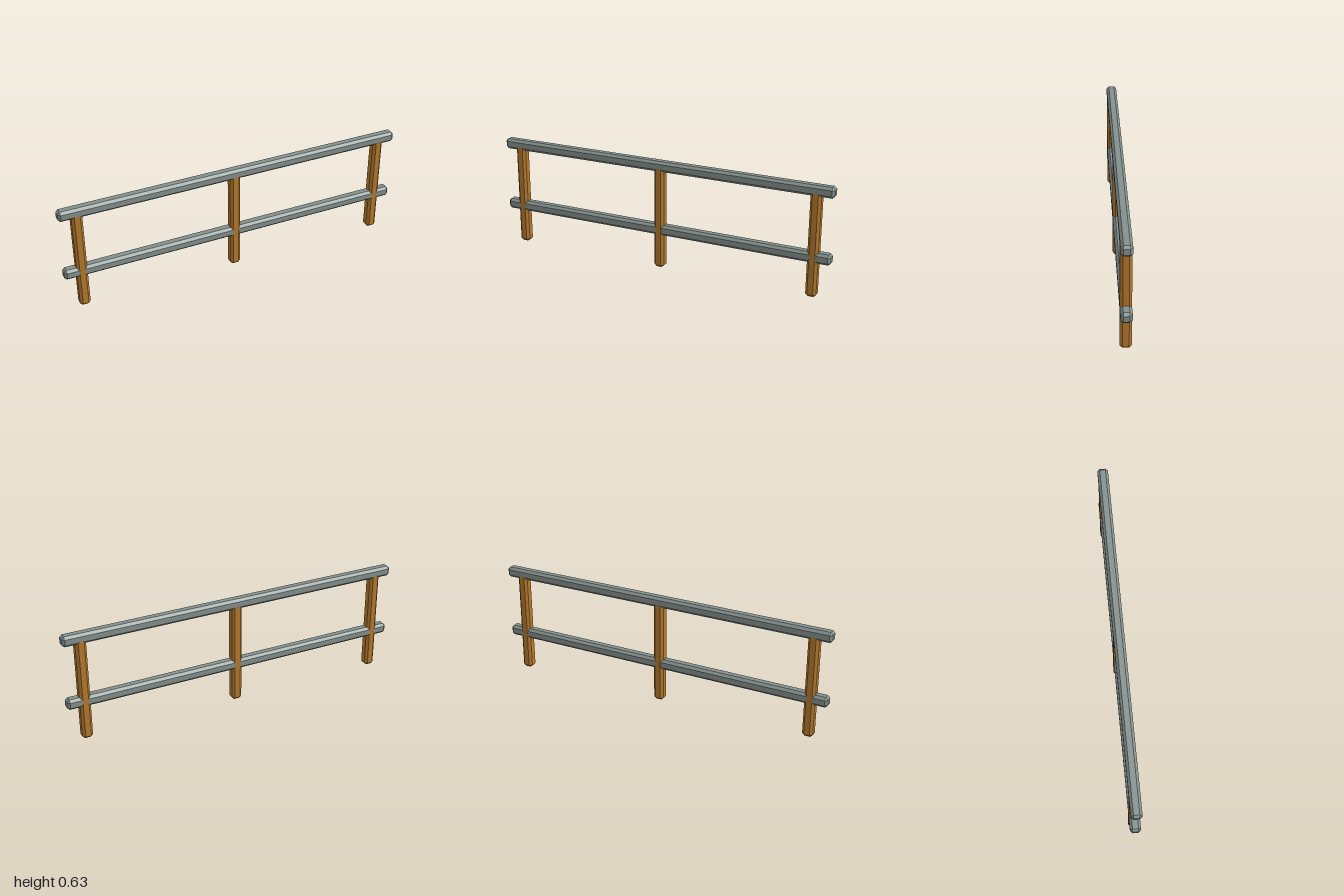
import * as THREE from 'three';
import { ConvexGeometry } from 'three/addons/geometries/ConvexGeometry.js';

// Box with every edge chamfered by c, centred on the origin
function chamferedBox(w, h, d, c) {
  const half = [w / 2, h / 2, d / 2];
  const points = [];
  for (const sx of [-1, 1]) for (const sy of [-1, 1]) for (const sz of [-1, 1]) {
    for (let axis = 0; axis < 3; axis++) {
      const [x, y, z] = half.map((v, i) => (i === axis ? v : v - c));
      points.push(new THREE.Vector3(sx * x, sy * y, sz * z));
    }
  }
  return new ConvexGeometry(points);
}

export function createModel() {
  const model = new THREE.Group();
  model.name = 'railFence';

  const wood = new THREE.MeshStandardMaterial({ color: 0xb57a2e });
  wood.name = 'brown wood';
  const grey = new THREE.MeshStandardMaterial({ color: 0x84908d });
  grey.name = 'grey rail';

  const add = (name, geometry, material, x, y) => {
    const mesh = new THREE.Mesh(geometry, material);
    mesh.name = name;
    mesh.position.set(x, y, 0);
    model.add(mesh);
  };

  // Horizontal rails
  const rail = chamferedBox(2, 0.06, 0.06, 0.014);
  add('topRail', rail, grey, 0, 0.601);
  add('lowerRail', rail, grey, 0, 0.227);

  // Upright posts, a hair deeper than the rails so the crossings show wood
  const post = chamferedBox(0.06, 0.6, 0.0604, 0.014);
  add('rightPost', post, wood, -0.9, 0.3);
  add('middlePost', post, wood, 0, 0.3);
  add('leftPost', post, wood, 0.9, 0.3);

  return model;
}
